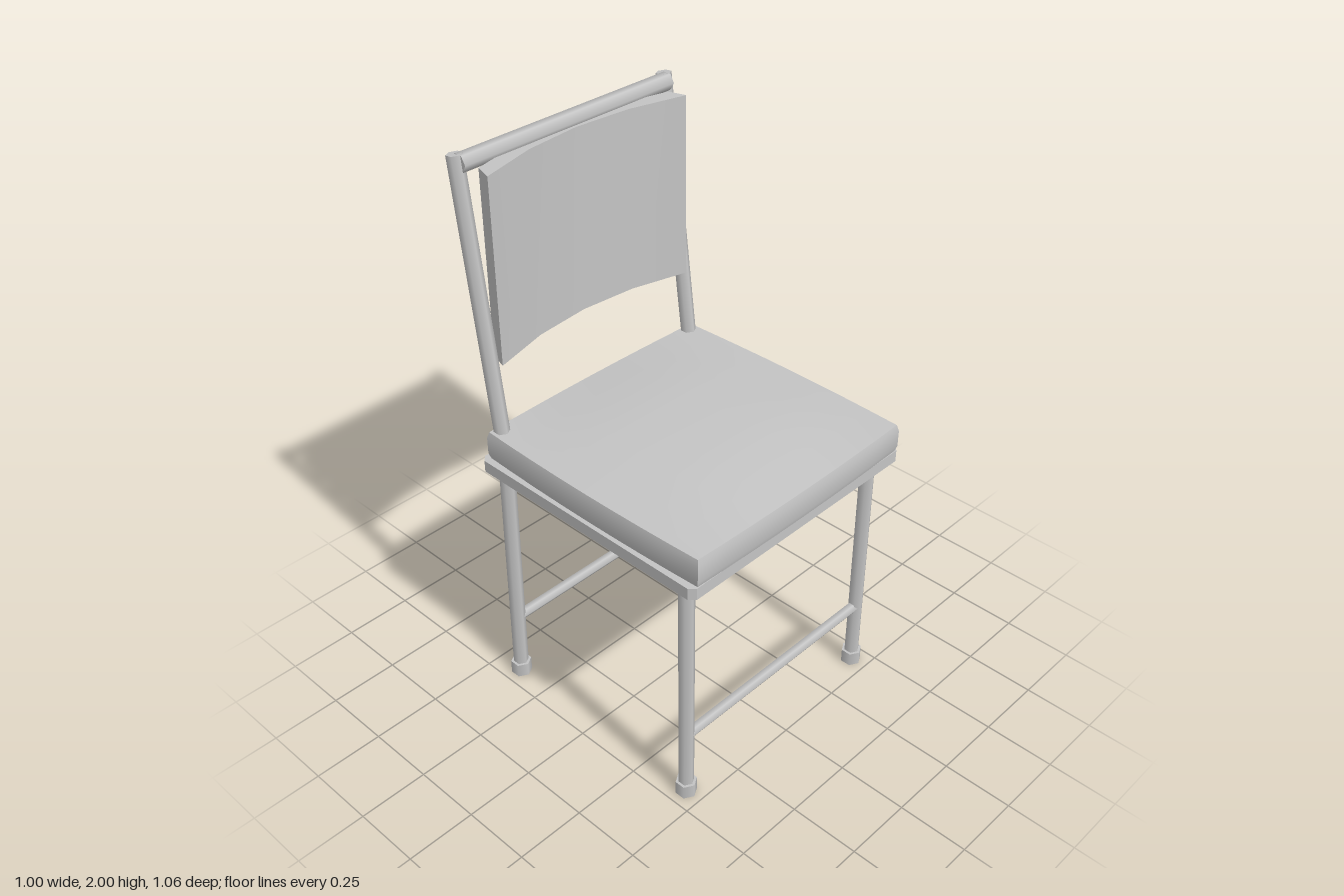
import * as THREE from 'three';
import { toCreasedNormals } from 'three/addons/utils/BufferGeometryUtils.js';

export function createModel() {
  const chair = new THREE.Group();
  chair.name = 'chair';
  const grey = new THREE.MeshStandardMaterial({ color: 0xc4c4c4 });
  grey.name = 'lightGrey';

  const add = (name, geometry) => {
    const mesh = new THREE.Mesh(geometry, grey);
    mesh.name = name;
    chair.add(mesh);
    return mesh;
  };

  // Six-sided rod between two points
  const up = new THREE.Vector3(0, 1, 0);
  const rod = (name, a, b, radius) => {
    const from = new THREE.Vector3(...a), to = new THREE.Vector3(...b);
    const dir = to.clone().sub(from);
    const mesh = add(name, new THREE.CylinderGeometry(radius, radius, dir.length(), 6));
    mesh.position.copy(from).add(to).multiplyScalar(0.5);
    mesh.quaternion.setFromUnitVectors(up, dir.normalize());
  };

  // Legs, back posts, feet and the rails under the seat
  const lx = 0.437, fz = 0.437, bz = -0.39;
  for (const [side, x] of [['left', lx], ['right', -lx]]) {
    rod(side + 'FrontLeg', [x, 0.02, fz], [x, 0.93, fz], 0.027);
    rod(side + 'BackLeg', [x, 0.02, bz], [x, 0.98, -0.379], 0.027);
    rod(side + 'BackPost', [x, 0.98, -0.379], [x, 1.994, -0.504], 0.027);
    rod(side + 'FrontFoot', [x, 0, fz], [x, 0.052, fz], 0.037);
    rod(side + 'BackFoot', [x, 0, bz], [x, 0.052, bz], 0.037);
    rod(side + 'SeatRail', [x, 0.892, -0.37], [x, 0.892, 0.43], 0.023);
  }

  // Cross bars
  rod('frontStretcher', [-lx, 0.262, fz], [lx, 0.262, fz], 0.02);
  rod('backStretcher', [-lx, 0.262, -0.387], [lx, 0.262, -0.387], 0.02);
  rod('topBar', [-lx, 1.969, -0.488], [lx, 1.969, -0.488], 0.031);

  // Seat board with clipped corners
  const w = 0.498, zf = 0.518, zb = -0.437, c = 0.02;
  const outline = [
    [-w + c, -zf], [w - c, -zf], [w, -zf + c], [w, -zb - c],
    [w - c, -zb], [-w + c, -zb], [-w, -zb - c], [-w, -zf + c],
  ].map(([x, y]) => new THREE.Vector2(x, y));
  const board = new THREE.ExtrudeGeometry(new THREE.Shape(outline), { depth: 0.043, bevelEnabled: false });
  board.rotateX(-Math.PI / 2);
  add('seatBoard', board).position.y = 0.917;

  // Cushion: a divided box with bulging sides and a domed top
  const cushion = new THREE.BoxGeometry(2, 3, 2, 8, 3, 8);
  const p = cushion.attributes.position;
  const levels = [0.96, 0.98, 1.04, 1.063];
  const dome = (u) => THREE.MathUtils.smoothstep(1 - Math.abs(u), -0.2, 0.7);
  const edge = dome(1);
  const rise = (u) => (dome(u) - edge) / (1 - edge);
  for (let i = 0; i < p.count; i++) {
    const u = p.getX(i), v = p.getZ(i);
    const level = Math.round(p.getY(i) + 1.5);
    const inset = level === 0 || level === 3 ? 0.006 : 0;
    const x = u * (0.478 - inset + 0.011 * (1 - v * v));
    const z = 0.051 + v * (0.469 - inset + 0.009 * (1 - u * u));
    const y = levels[level] + (level === 3 ? 0.028 * rise(u) * rise(v) : 0);
    p.setXYZ(i, x, y, z);
  }
  add('seatCushion', toCreasedNormals(cushion, 0.7));

  // Backrest panel, curved around the sitter
  const panel = new THREE.BoxGeometry(2, 0.65, 1, 4, 1, 1);
  const q = panel.attributes.position;
  for (let i = 0; i < q.count; i++) {
    const u = q.getX(i), back = q.getZ(i) < 0;
    const x = u * (back ? 0.398 : 0.417);
    const z = -0.455 + 0.072 * u * u - (back ? 0.055 + 0.008 * u * u : 0);
    q.setXYZ(i, x, q.getY(i) + 1.63, z);
  }
  add('backrestPanel', toCreasedNormals(panel, 0.7));

  return chair;
}
